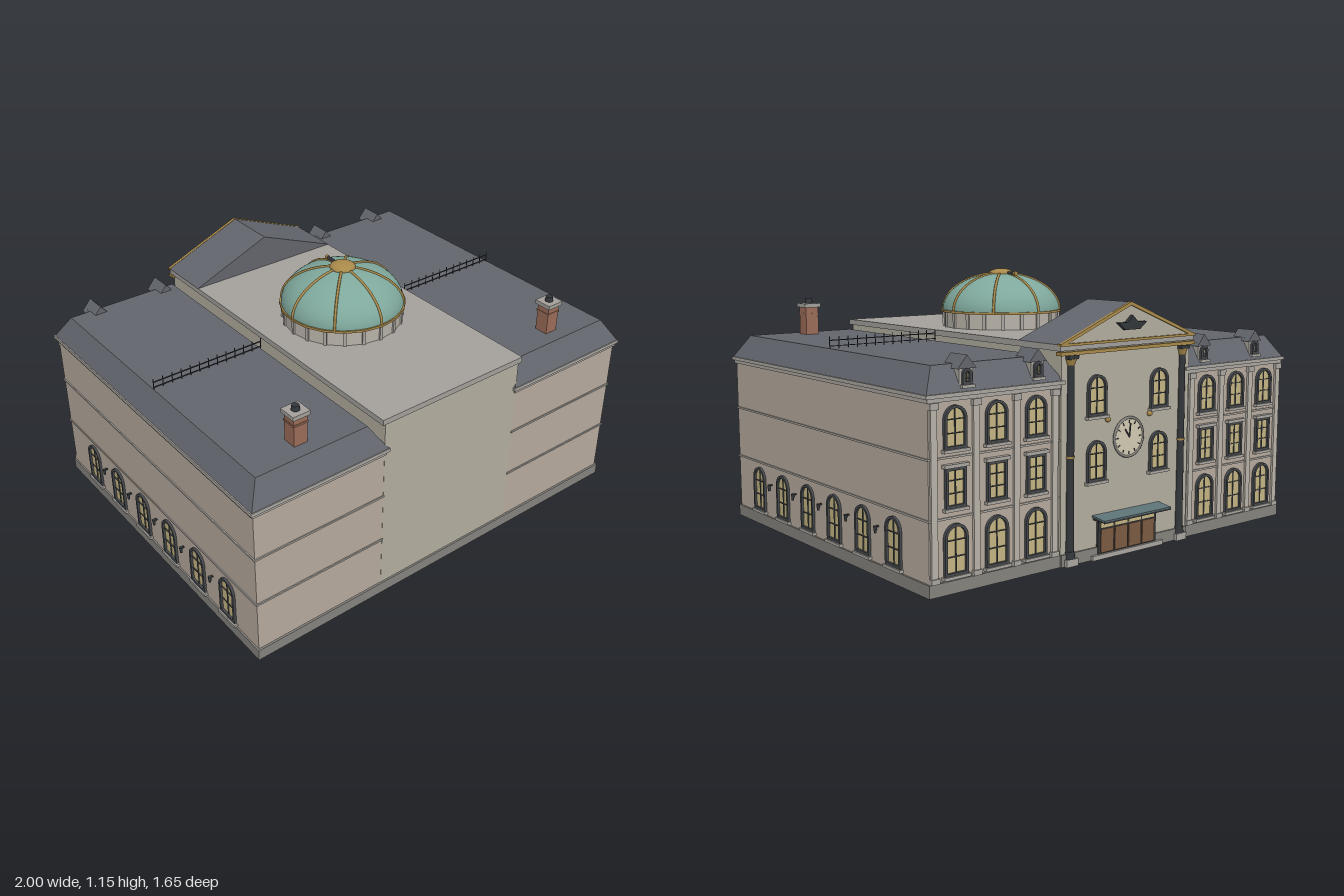
import * as THREE from 'three';

const mat = (color) => new THREE.MeshStandardMaterial({ color });
const M = {
  wing: mat(0xb5a99c), centre: mat(0xb2ad9f), plinth: mat(0x85827d), trim: mat(0xaaa6a0),
  roof: mat(0x62656c), slab: mat(0xa3a09b), glass: mat(0xc4b482), frame: mat(0x45484c),
  dark: mat(0x33363a), gold: mat(0xa8894a), copper: mat(0x7fa89c), brick: mat(0x9a6c58),
  wood: mat(0x7a5a42), canopy: mat(0x5d7276), dial: mat(0xd2c9b2), stone: mat(0xb8b2a8),
};

function add(parent, name, geo, material, x = 0, y = 0, z = 0) {
  const m = new THREE.Mesh(geo, material);
  m.name = name;
  m.position.set(x, y, z);
  parent.add(m);
  return m;
}

// Box given by its minimum and maximum corners
function block(parent, name, material, x0, x1, y0, y1, z0, z1) {
  return add(parent, name, new THREE.BoxGeometry(x1 - x0, y1 - y0, z1 - z0), material,
    (x0 + x1) / 2, (y0 + y1) / 2, (z0 + z1) / 2);
}

const cyl = (r0, r1, h, n = 16) => new THREE.CylinderGeometry(r0, r1, h, n);
const extrude = (shape, depth) =>
  new THREE.ExtrudeGeometry(shape, { depth, bevelEnabled: false, curveSegments: 10 });

function polygon(points) {
  return new THREE.Shape(points.map(([x, y]) => new THREE.Vector2(x, y)));
}

// Outline standing on y = 0, with a round or straight head
function opening(w, h, arched, Type = THREE.Shape, y0 = 0) {
  const s = new Type(), r = w / 2;
  s.moveTo(-r, y0);
  s.lineTo(r, y0);
  if (arched) {
    s.lineTo(r, h - r);
    s.absarc(0, h - r, r, 0, Math.PI, false);
  } else {
    s.lineTo(r, h);
    s.lineTo(-r, h);
  }
  s.lineTo(-r, y0);
  return s;
}

// Framed window facing +z, its bottom at the group's origin
function makeWindow(w, h, arched) {
  const g = new THREE.Group(), t = 0.011;
  g.name = 'window';
  const ring = opening(w, h, arched);
  ring.holes.push(opening(w - 2 * t, h - t, arched, THREE.Path, t));
  add(g, 'windowFrame', extrude(ring, 0.014), M.frame);
  add(g, 'windowPane', extrude(opening(w - t, h - t / 2, arched), 0.004), M.glass);
  block(g, 'mullion', M.frame, -0.002, 0.002, 0.005, h - 0.005, 0, 0.008);
  for (const f of [0.36, 0.68])
    block(g, 'glazingBar', M.frame, -w / 2 + t, w / 2 - t, h * f - 0.002, h * f + 0.002, 0, 0.008);
  block(g, 'sill', M.trim, -w / 2 - 0.008, w / 2 + 0.008, -0.012, 0, 0, 0.02);
  if (!arched) block(g, 'lintel', M.trim, -w / 2 - 0.01, w / 2 + 0.01, h, h + 0.014, 0, 0.02);
  return g;
}

function place(parent, obj, x, y, z, ry = 0) {
  obj.position.set(x, y, z);
  obj.rotation.y = ry;
  parent.add(obj);
}

// Wing on the +x side; s = -1 mirrors it
function makeWing(s) {
  const g = new THREE.Group();
  g.name = s > 0 ? 'leftWing' : 'rightWing';
  const slab = (name, m, x0, x1, ...r) => block(g, name, m, Math.min(s * x0, s * x1), Math.max(s * x0, s * x1), ...r);
  slab('wingWalls', M.wing, 0.35, 0.975, 0, 0.735, -0.745, 0.803);
  slab('wingPlinth', M.plinth, 0.35, 0.982, 0, 0.05, -0.755, 0.812);
  for (const y of [0.285, 0.51]) slab('stringCourse', M.trim, 0.355, 0.98, y - 0.004, y + 0.004, -0.75, 0.808);
  slab('wingCorniceLower', M.trim, 0.35, 0.982, 0.715, 0.73, -0.752, 0.81);
  slab('wingCornice', M.trim, 0.34, 0.99, 0.73, 0.745, -0.76, 0.817);

  // Mansard roof: a box whose top is drawn inwards
  let roof = new THREE.BoxGeometry(0.64, 0.097, 1.566);
  const p = roof.attributes.position;
  for (let i = 0; i < p.count; i++)
    if (p.getY(i) > 0) {
      p.setX(i, Math.sign(p.getX(i)) * 0.26);
      p.setZ(i, Math.sign(p.getZ(i)) * 0.724);
    }
  roof = roof.toNonIndexed();
  roof.computeVertexNormals();
  add(g, 'mansardRoof', roof, M.roof, s * 0.665, 0.7935, 0.03);

  // Roof railing
  slab('railingTop', M.dark, 0.4, 0.925, 0.873, 0.877, 0.03, 0.034);
  slab('railingBottom', M.dark, 0.4, 0.925, 0.85, 0.853, 0.03, 0.034);
  for (let i = 0; i <= 12; i++)
    add(g, 'railingPost', cyl(0.002, 0.002, 0.05, 6), M.dark, s * (0.403 + i * 0.0433), 0.865, 0.032);

  // Chimney
  const cx = s * 0.675, cz = 0.66;
  add(g, 'chimneyStack', new THREE.BoxGeometry(0.062, 0.14, 0.062), M.brick, cx, 0.9, cz);
  add(g, 'chimneyBand', new THREE.BoxGeometry(0.068, 0.008, 0.068), M.brick, cx, 0.935, cz);
  add(g, 'chimneyCap', new THREE.BoxGeometry(0.08, 0.018, 0.08), M.slab, cx, 0.975, cz);
  add(g, 'chimneyPot', cyl(0.015, 0.018, 0.022, 12), M.dark, cx, 0.994, cz);

  // Dormers
  for (const x of [0.465, 0.8]) {
    const d = new THREE.Group();
    d.name = 'dormer';
    block(d, 'dormerWalls', M.trim, -0.031, 0.031, 0.755, 0.84, 0.65, 0.738);
    add(d, 'dormerRoof', extrude(polygon([[-0.043, 0.826], [0.043, 0.826], [0, 0.876]]), 0.1), M.roof, 0, 0, 0.645);
    const w = makeWindow(0.042, 0.06, true);
    w.position.set(0, 0.768, 0.735);
    d.add(w);
    place(g, d, s * x, 0, 0, Math.PI);
  }

  // Facade bays with pilasters between
  for (const x of [0.48, 0.67, 0.86]) {
    place(g, makeWindow(0.105, 0.195, true), s * x, 0.068, -0.745, Math.PI);
    place(g, makeWindow(0.092, 0.15, false), s * x, 0.322, -0.745, Math.PI);
    place(g, makeWindow(0.1, 0.16, true), s * x, 0.54, -0.745, Math.PI);
  }
  for (const x of [0.385, 0.575, 0.765, 0.955]) {
    slab('pilaster', M.stone, x - 0.014, x + 0.014, 0.05, 0.715, -0.755, -0.745);
    slab('pilasterCapital', M.trim, x - 0.019, x + 0.019, 0.69, 0.715, -0.76, -0.745);
    slab('pilasterBase', M.trim, x - 0.019, x + 0.019, 0.05, 0.07, -0.76, -0.745);
  }

  // Side windows and the lamps between them
  for (let i = 0; i < 6; i++) {
    const z = 0.595 - i * 0.222;
    place(g, makeWindow(0.105, 0.195, true), s * 0.972, 0.066, z, s * Math.PI / 2);
    if (i === 5) continue;
    slab('lampBracket', M.dark, 0.97, 0.992, 0.196, 0.202, z - 0.115, z - 0.107);
    add(g, 'sideLamp', cyl(0.008, 0.005, 0.028, 8), M.dark, s * 0.99, 0.188, z - 0.111);
  }
  return g;
}

function makeCentre() {
  const g = new THREE.Group();
  g.name = 'centreBlock';
  block(g, 'centreWalls', M.centre, -0.358, 0.358, 0, 0.865, -0.755, 0.804);
  block(g, 'centrePlinth', M.plinth, -0.358, 0.358, 0, 0.05, -0.762, 0.812);
  block(g, 'centreRoofSlab', M.slab, -0.373, 0.373, 0.86, 0.885, -0.765, 0.808);
  block(g, 'entablature', M.gold, -0.374, 0.374, 0.842, 0.856, -0.772, -0.74);
  block(g, 'corniceGilding', M.gold, -0.376, 0.376, 0.878, 0.888, -0.772, -0.752);

  // Facade items, built facing +z and turned to the rear
  const f = new THREE.Group();
  f.name = 'entranceFacade';
  f.rotation.y = Math.PI;
  g.add(f);
  add(f, 'pedimentRoof', extrude(polygon([[-0.375, 0.885], [0.375, 0.885], [0, 1.035]]), 0.25), M.roof, 0, 0, 0.51);
  add(f, 'tympanum', extrude(polygon([[-0.34, 0.888], [0.34, 0.888], [0, 1.022]]), 0.006), M.centre, 0, 0, 0.757);
  const rake = polygon([[-0.378, 0.885], [-0.345, 0.885], [0, 1.022], [0.345, 0.885], [0.378, 0.885], [0, 1.037]]);
  add(f, 'rakingCornice', extrude(rake, 0.014), M.gold, 0, 0, 0.757);
  const relief = polygon([[-0.08, 0.955], [-0.04, 0.925], [0.04, 0.925], [0.08, 0.955], [0.03, 0.955], [0, 0.982], [-0.03, 0.955]]);
  add(f, 'pedimentRelief', extrude(relief, 0.018), M.dark, 0, 0, 0.762);

  for (const s of [-1, 1]) {
    const x = s * 0.312;
    add(f, 'columnPedestal', new THREE.BoxGeometry(0.06, 0.03, 0.05), M.trim, x, 0.015, 0.753);
    add(f, 'columnBase', cyl(0.02, 0.024, 0.03), M.dark, x, 0.045, 0.757);
    add(f, 'columnShaft', cyl(0.015, 0.018, 0.75), M.dark, x, 0.435, 0.757);
    add(f, 'columnBand', cyl(0.019, 0.019, 0.008), M.gold, x, 0.44, 0.757);
    add(f, 'columnCapital', cyl(0.024, 0.016, 0.025), M.gold, x, 0.815, 0.757);
    add(f, 'columnAbacus', new THREE.BoxGeometry(0.052, 0.016, 0.04), M.dark, x, 0.834, 0.757);
    place(f, makeWindow(0.1, 0.165, true), s * 0.175, 0.59, 0.755);
    place(f, makeWindow(0.1, 0.165, true), s * 0.175, 0.325, 0.755);
    add(f, 'wallLamp', new THREE.SphereGeometry(0.012, 10, 8), M.gold, s * 0.118, 0.57, 0.765);
  }

  // Clock
  const dial = add(f, 'clockDial', cyl(0.078, 0.078, 0.014, 32), M.dial, 0, 0.485, 0.759);
  dial.rotation.x = Math.PI / 2;
  add(f, 'clockRim', new THREE.TorusGeometry(0.08, 0.006, 8, 32), M.plinth, 0, 0.485, 0.764);
  for (let i = 0; i < 12; i++) {
    const a = i * Math.PI / 6;
    const mark = add(f, 'hourMark', new THREE.BoxGeometry(0.004, 0.012, 0.003), M.dark,
      Math.sin(a) * 0.064, 0.485 + Math.cos(a) * 0.064, 0.767);
    mark.rotation.z = -a;
  }
  for (const [a, l] of [[-0.6, 0.042], [0.1, 0.058]]) {
    const hand = add(f, 'clockHand', new THREE.BoxGeometry(0.005, l, 0.003), M.dark,
      Math.sin(a) * l / 2, 0.485 + Math.cos(a) * l / 2, 0.769);
    hand.rotation.z = -a;
  }

  // Entrance doors, canopy and step
  block(f, 'doorSurround', M.dark, -0.165, 0.165, 0.02, 0.155, 0.75, 0.766);
  for (let i = 0; i < 4; i++) {
    const x = -0.117 + i * 0.078;
    block(f, 'doorLeaf', M.wood, x - 0.035, x + 0.035, 0.025, 0.122, 0.76, 0.77);
    block(f, 'doorTransom', M.glass, x - 0.035, x + 0.035, 0.128, 0.148, 0.76, 0.768);
  }
  block(f, 'doorStep', M.trim, -0.2, 0.2, 0, 0.02, 0.75, 0.775);
  const top = add(f, 'canopy', new THREE.BoxGeometry(0.38, 0.008, 0.077), M.canopy, 0, 0.176, 0.79);
  top.rotation.x = 0.12;
  block(f, 'canopyEdge', M.dark, -0.19, 0.19, 0.163, 0.175, 0.822, 0.828);
  for (let i = 0; i < 5; i++) block(f, 'canopyRib', M.dark, i * 0.09 - 0.183, i * 0.09 - 0.177, 0.164, 0.171, 0.755, 0.825);
  return g;
}

function makeDome() {
  const g = new THREE.Group();
  g.name = 'dome';
  g.position.set(0, 0.885, 0.08);
  const drumGeo = cyl(0.262, 0.262, 0.07, 20).toNonIndexed();
  drumGeo.computeVertexNormals();
  add(g, 'drum', drumGeo, M.stone, 0, 0.035, 0);
  for (let i = 0; i < 20; i++) {
    const a = i * Math.PI / 10;
    const m = add(g, 'drumPilaster', new THREE.BoxGeometry(0.014, 0.068, 0.012), M.trim,
      Math.sin(a) * 0.262, 0.034, Math.cos(a) * 0.262);
    m.rotation.y = a;
  }
  add(g, 'domeRing', cyl(0.276, 0.276, 0.01, 20), M.gold, 0, 0.072, 0);
  const shell = add(g, 'domeShell', new THREE.SphereGeometry(0.268, 48, 16, 0, Math.PI * 2, 0, Math.PI / 2), M.copper, 0, 0.073, 0);
  shell.scale.y = 0.62;
  const arc = [];
  for (let i = 0; i <= 10; i++) {
    const a = i * Math.PI / 20;
    arc.push(new THREE.Vector3(Math.cos(a) * 0.269, 0.073 + Math.sin(a) * 0.167, 0));
  }
  const rib = new THREE.TubeGeometry(new THREE.CatmullRomCurve3(arc), 24, 0.006, 6);
  for (let i = 0; i < 8; i++) add(g, 'domeRib', rib, M.gold).rotation.y = i * Math.PI / 4;

  // Crown with a small pointing rod
  const cap = add(g, 'domeCrown', new THREE.SphereGeometry(0.056, 24, 12), M.gold, 0, 0.238, 0);
  cap.scale.y = 0.4;
  add(g, 'crownRod', cyl(0.007, 0.007, 0.08, 10), M.dark, 0, 0.24, -0.065).rotation.x = Math.PI / 2;
  add(g, 'crownRodTip', cyl(0.01, 0.01, 0.012, 10), M.gold, 0, 0.24, -0.106).rotation.x = Math.PI / 2;
  return g;
}

export function createModel() {
  const model = new THREE.Group();
  model.name = 'domedBuilding';
  model.add(makeWing(1), makeWing(-1), makeCentre(), makeDome());
  return model;
}
